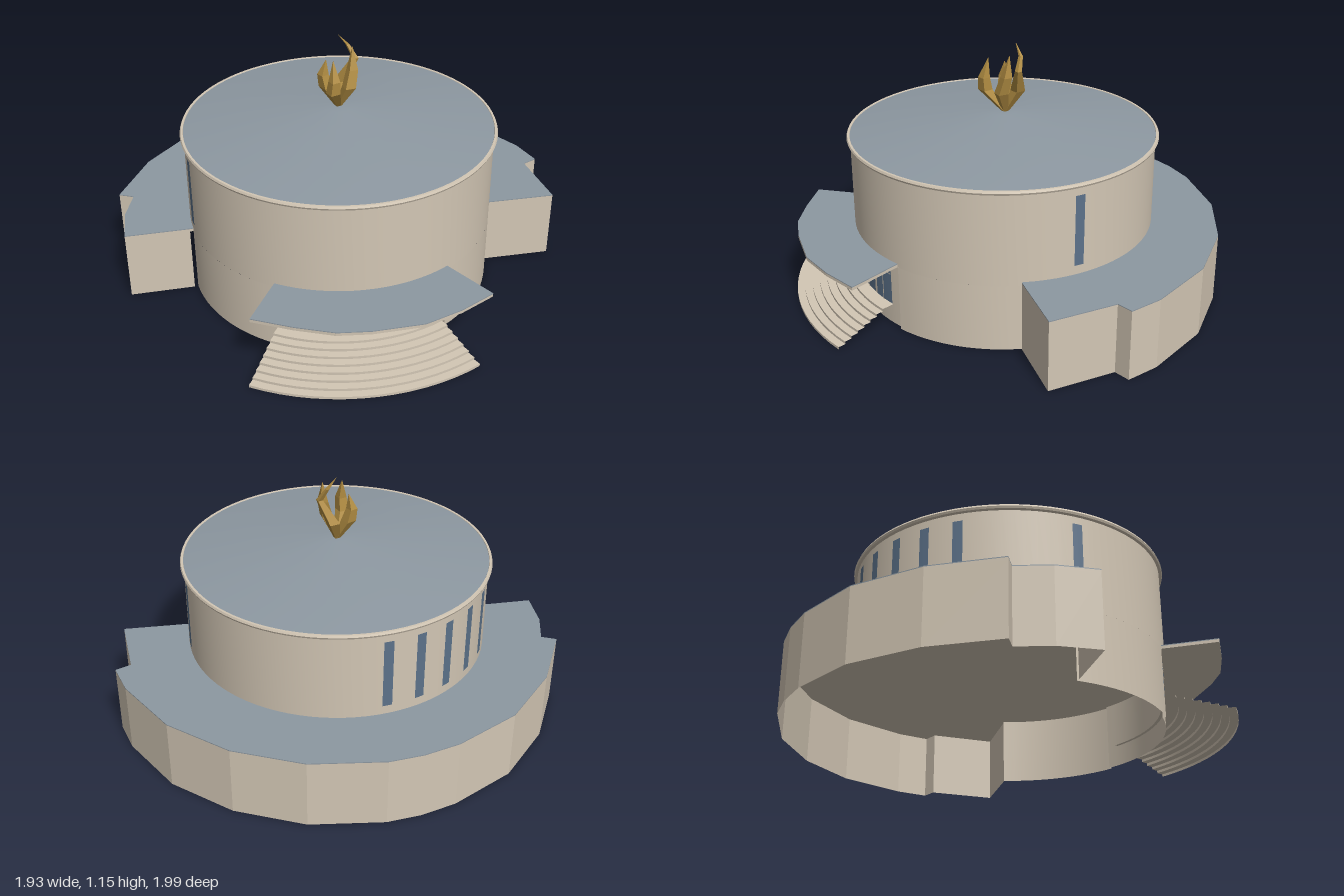
import * as THREE from 'three';
import { toCreasedNormals } from 'three/addons/utils/BufferGeometryUtils.js';

const CX = -0.065, CZ = 0.01; // axis of the drum
const R = 0.70, EAVE = 0.31;

export function createModel() {
  const model = new THREE.Group();
  const material = (name, color, side = THREE.FrontSide) => {
    const m = new THREE.MeshStandardMaterial({ color, side });
    m.name = name;
    return m;
  };
  const stone = material('stone', 0xd3c7b5, THREE.DoubleSide);
  const roofing = material('roofing', 0x8d98a1);
  const glass = material('glass', 0x5c728a, THREE.DoubleSide);
  const gold = material('gold', 0xb08c42, THREE.DoubleSide);

  const add = (name, geometry, mat) => {
    const mesh = new THREE.Mesh(geometry, mat);
    mesh.name = name;
    model.add(mesh);
    return mesh;
  };
  // Profile of [radius, y] turned about the drum axis, angles in degrees from +x towards +z
  const turned = (name, profile, mat, from = 0, to = 360) => {
    const g = new THREE.LatheGeometry(
      profile.map(([r, y]) => new THREE.Vector2(r, y)),
      Math.max(2, Math.ceil((to - from) / 4)),
      THREE.MathUtils.degToRad(90 - to), THREE.MathUtils.degToRad(to - from));
    add(name, toCreasedNormals(g, 0.5), mat).position.set(CX, 0, CZ);
  };
  const band = (name, r, y0, y1, mat, from, to) => turned(name, [[r, y0], [r, y1]], mat, from, to);
  // Horizontal slab from an outline of [x, z]
  const slab = (name, outline, y, height, mat) => {
    const shape = new THREE.Shape(outline.map(([x, z]) => new THREE.Vector2(x, -z)));
    const g = new THREE.ExtrudeGeometry(shape, { depth: height, bevelEnabled: false });
    g.rotateX(-Math.PI / 2);
    add(name, g, mat).position.y = y;
  };
  const coveredSlab = (name, outline) => {
    slab(name + 'Slab', outline, EAVE, 0.013, stone);
    slab(name + 'Roof', outline, EAVE + 0.013, 0.004, roofing);
  };

  // Low wing wrapped around the back and left side
  const wing = [[-0.72, -0.28], [-0.97, -0.43], [-0.87, -0.58], [-0.755, -0.685],
    [-0.795, -0.745], [-0.52, -0.91], [-0.20, -1.0], [0.12, -0.98], [0.28, -0.935],
    [0.42, -0.87], [0.68, -0.665], [0.865, -0.395], [0.965, -0.085], [0.96, 0.25],
    [0.92, 0.40], [0.845, 0.39], [0.71, 0.67], [0.44, 0.50]];
  coveredSlab('wing', [...wing, [CX, CZ]]);
  const wall = [];
  for (let i = 0; i < wing.length - 1; i++) {
    const [[ax, az], [bx, bz]] = [wing[i], wing[i + 1]];
    const a = [ax, 0, az], b = [bx, 0, bz], c = [bx, EAVE, bz], d = [ax, EAVE, az];
    wall.push(...b, ...a, ...d, ...b, ...d, ...c);
  }
  const wallGeometry = new THREE.BufferGeometry();
  wallGeometry.setAttribute('position', new THREE.Float32BufferAttribute(wall, 3));
  wallGeometry.computeVertexNormals();
  add('wingWall', wallGeometry, stone);

  // Entrance canopy
  coveredSlab('canopy', [[-0.72, 0.305], [-0.925, 0.41], [-0.83, 0.57], [-0.73, 0.71],
    [-0.62, 0.80], [-0.43, 0.915], [-0.26, 0.955], [-0.085, 0.97], [-0.08, 0.70], [CX, CZ]]);

  // Drum: lower walls with recessed entrance, ceiling, upper wall
  band('lowerFrontWall', R, 0, EAVE, stone, 44, 91);
  band('lowerSideWall', R, 0, EAVE, stone, 155.7, 204);
  band('entranceWall', R - 0.015, 0, EAVE, stone, 91, 155.7);
  for (const a of [91, 155.7]) turnedJamb(a);
  function turnedJamb(a) {
    const jamb = add('entranceJamb', new THREE.PlaneGeometry(0.015, EAVE), stone);
    const t = THREE.MathUtils.degToRad(a);
    jamb.position.set(CX + (R - 0.0075) * Math.cos(t), EAVE / 2, CZ + (R - 0.0075) * Math.sin(t));
    jamb.rotation.y = -t;
  }
  turned('ceiling', [[R, EAVE], [0, EAVE]], stone);
  band('upperWall', R, EAVE, 0.74, stone);

  // Conical roof and its rim
  turned('roofRim', [[R, 0.73], [0.712, 0.733], [0.716, 0.742], [0.712, 0.751], [0.702, 0.751], [0.70, 0.746]], stone);
  turned('coneRoof', [[0.703, 0.748], [0.06, 0.83], [0, 0.83]], roofing);

  // Tall narrow windows
  for (const a of [23.5, 202, 243, 255.5, 268, 280.5, 293]) {
    band('tallWindow', R + 0.003, 0.37, 0.695, glass, a - 1.8, a + 1.8);
  }

  // Five glazed entrance bays with mullion and transom
  for (let i = 0; i < 5; i++) {
    const a = 96.2 + i * 11.3, b = a + 9.9, mid = (a + b) / 2, r = R - 0.008;
    band('entranceGlass', R - 0.011, 0.10, 0.285, glass, a, b);
    band('entranceMullion', r, 0.10, 0.285, stone, mid - 0.25, mid + 0.25);
    band('entranceTransom', r, 0.247, 0.252, stone, a, b);
  }

  // Curved open-backed stairs
  const steps = 8, rise = 0.096 / steps, stairs = [[0.99, 0]];
  for (let i = 0; i < steps; i++) {
    const r = 0.99 - i * 0.035;
    stairs.push([r, (i + 1) * rise], [i === steps - 1 ? R - 0.03 : r - 0.035, (i + 1) * rise]);
  }
  turned('stairs', stairs, stone, 96, 155);

  // Faceted flame finial: four-sided petals lofted along bent paths of [x, y, z, width]
  const petal = (rings) => {
    const corner = ([x, y, z, w], k) => {
      const t = k * Math.PI / 2 + Math.atan2(rings[1][2], rings[1][0]);
      return [x + w * Math.cos(t), y, z + w * Math.sin(t)];
    };
    const p = [];
    for (let i = 0; i < rings.length - 1; i++) {
      for (let k = 0; k < 4; k++) {
        const a = corner(rings[i], k), b = corner(rings[i], k + 1);
        const c = corner(rings[i + 1], k + 1), d = corner(rings[i + 1], k);
        p.push(...a, ...d, ...b, ...b, ...d, ...c);
      }
    }
    const g = new THREE.BufferGeometry();
    g.setAttribute('position', new THREE.Float32BufferAttribute(p, 3));
    g.computeVertexNormals();
    add('flamePetal', g, gold).position.set(-0.06, 0, 0);
  };
  petal([[0, 0.825, 0, 0.014], [-0.075, 0.93, 0.05, 0.033], [-0.075, 0.99, 0.058, 0.027], [-0.065, 1.08, 0.04, 0.001]]);
  petal([[0, 0.825, 0, 0.014], [0.05, 0.93, -0.03, 0.034], [0.09, 1.04, 0.015, 0.016], [0.075, 1.10, -0.02, 0.010], [0.035, 1.15, -0.035, 0.001]]);
  petal([[0, 0.825, 0, 0.014], [0.02, 0.93, 0.05, 0.034], [0.045, 1.01, 0.045, 0.028], [0.055, 1.11, 0.035, 0.001]]);
  petal([[0, 0.825, 0, 0.014], [-0.035, 0.92, -0.04, 0.034], [-0.045, 0.98, -0.05, 0.026], [-0.035, 1.05, -0.04, 0.001]]);

  return model;
}
